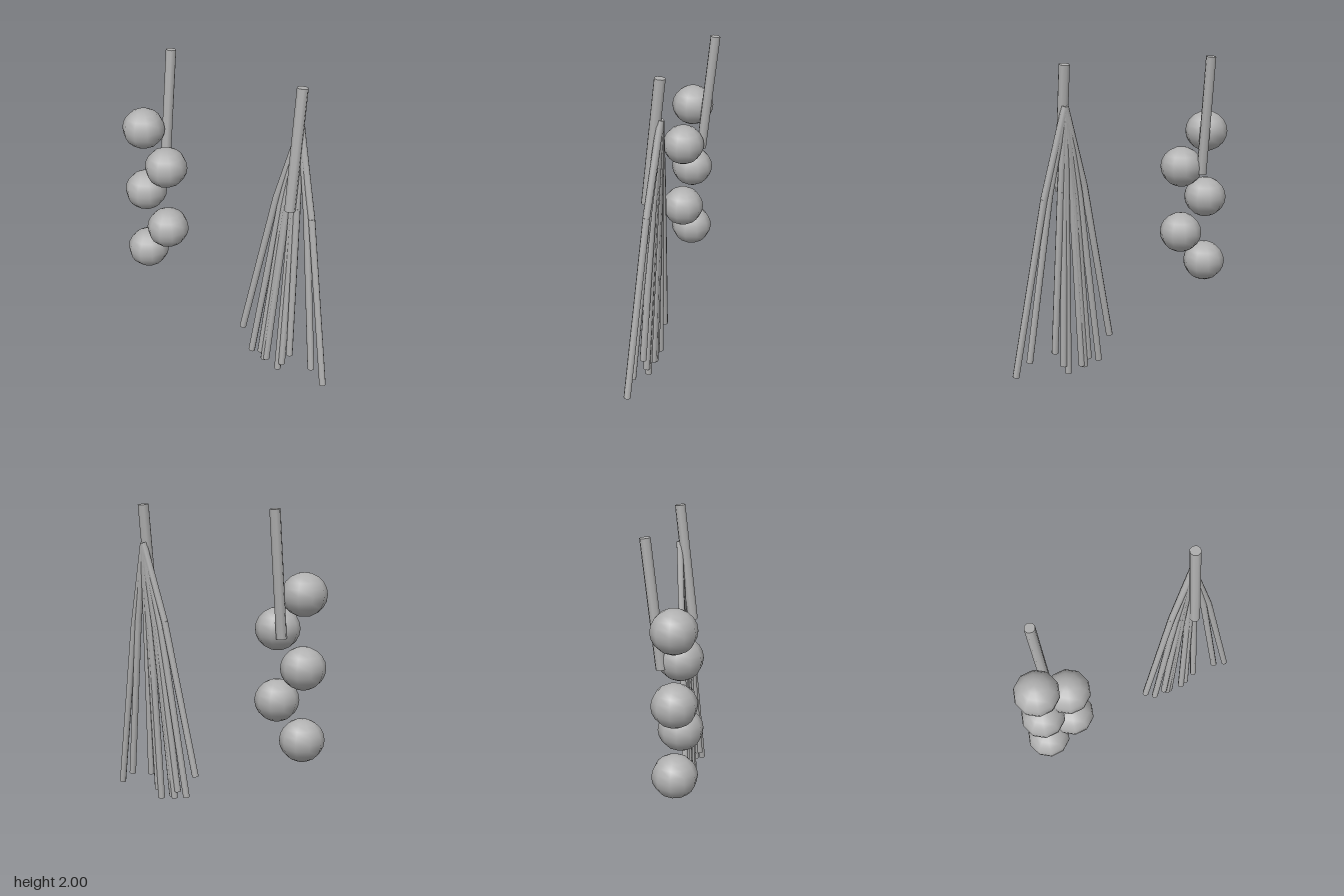
import * as THREE from 'three';

const grey = new THREE.MeshStandardMaterial({ color: 0xb0b0b0 });
grey.name = 'grey';

// Closed round rod between two points
function rod(name, a, b, radius) {
  const dir = b.clone().sub(a);
  const mesh = new THREE.Mesh(new THREE.CylinderGeometry(radius, radius, dir.length(), 8), grey);
  mesh.name = name;
  mesh.position.copy(a).add(b).multiplyScalar(0.5);
  mesh.quaternion.setFromUnitVectors(new THREE.Vector3(0, 1, 0), dir.normalize());
  return mesh;
}

const v = (x, y, z) => new THREE.Vector3(x, y, z);

export function createModel() {
  const model = new THREE.Group();

  // Staggered column of five balls hanging from a leaning rod
  const ballCluster = new THREE.Group();
  ballCluster.name = 'ballCluster';
  const ballGeometry = new THREE.SphereGeometry(0.14, 10, 10);
  ballGeometry.scale(1, 0.955, 1);
  for (let i = 0; i < 5; i++) {
    const ball = new THREE.Mesh(ballGeometry, grey);
    ball.name = 'ball';
    ball.position.set(i % 2 ? -0.475 : -0.665, 1.487 - i * 0.225, 0.042);
    ballCluster.add(ball);
  }
  ballCluster.add(rod('clusterStem', v(-0.57, 1.222, -0.055), v(-0.57, 1.997, -0.14), 0.033));
  model.add(ballCluster);

  // Broom of fanned strands with a leaning handle
  const broom = new THREE.Group();
  broom.name = 'broom';
  broom.add(rod('handle', v(0.457, 1.222, -0.055), v(0.457, 1.997, -0.14), 0.035));

  // Strand tips as [x, y]; each strand bends slightly outward a third of the way down
  const tips = [
    [0.113, 0.215], [0.192, 0.055], [0.267, 0.08], [0.295, 0.03], [0.315, 0.04],
    [0.412, 0.005], [0.445, 0.06], [0.505, 0.16], [0.68, 0.13], [0.776, 0.05],
  ];
  for (const [x, y] of tips) {
    const top = v(0.457, 1.75, -0.143);
    const tip = v(x, y, -0.041);
    const bend = top.clone().lerp(tip, 0.33);
    bend.x += (x - 0.457) * 0.08;
    bend.z += 0.006;
    const strand = new THREE.Group();
    strand.name = 'strand';
    strand.add(rod('upperStrand', top, bend, 0.022), rod('lowerStrand', bend, tip, 0.022));
    broom.add(strand);
  }
  model.add(broom);
  return model;
}
